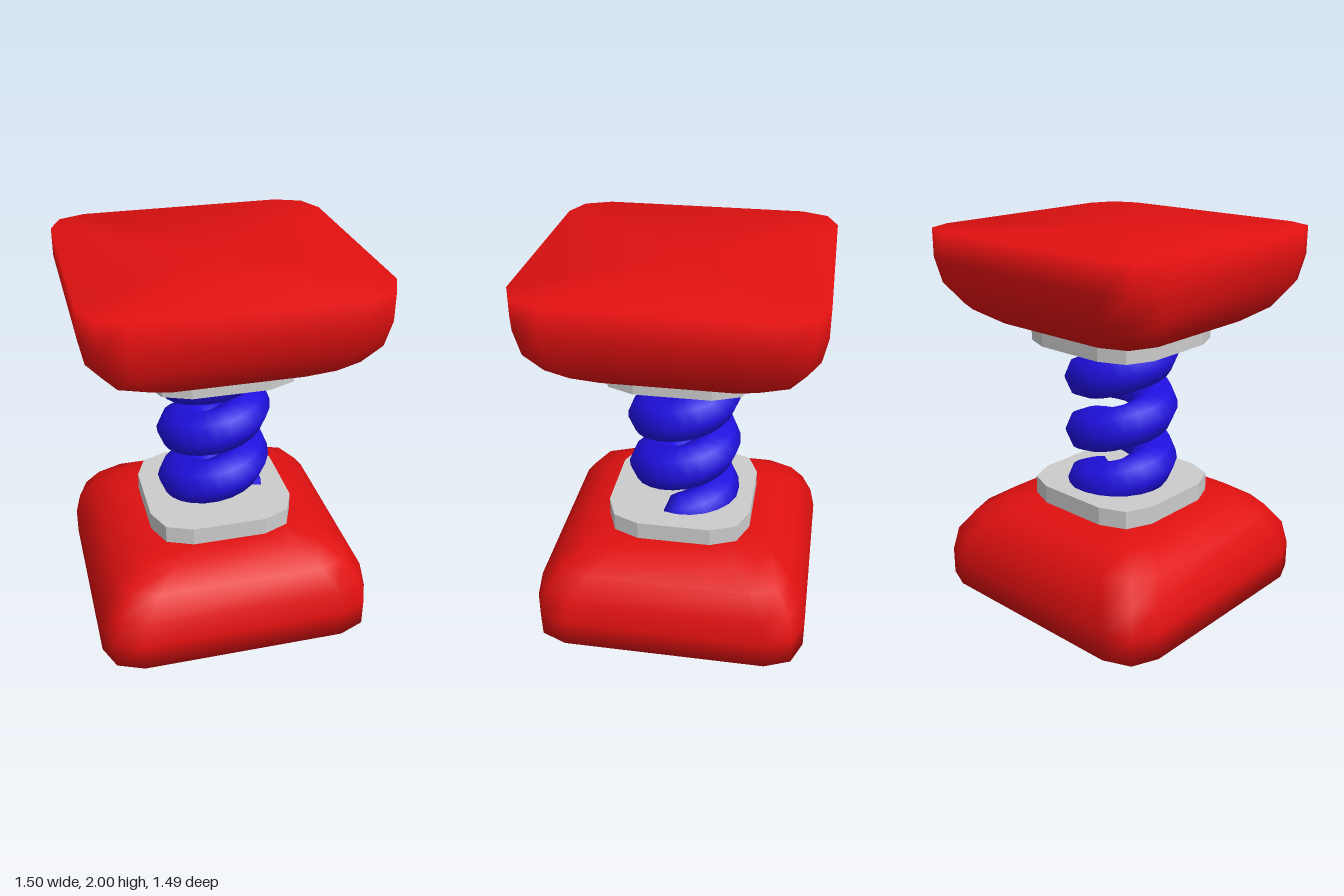
import * as THREE from 'three';

const CORNER = 0.2;      // corner radius of every rounded square
const DEPTH = 0.99;      // slight squeeze in z

// Skin over a row of closed rings, capped at both ends
function loft(rings) {
  const n = rings[0].length, last = rings.length - 1;
  const pts = rings.flat();
  const centre = ring => ring.reduce((s, p) => s.add(p), new THREE.Vector3()).divideScalar(n);
  const start = pts.length, end = start + 1;
  pts.push(centre(rings[0]), centre(rings[last]));
  const index = [];
  for (let j = 0; j < n; j++) {
    const k = (j + 1) % n;
    for (let i = 0; i < last; i++) {
      const a = i * n + j, b = i * n + k;
      index.push(a, a + n, b, b, a + n, b + n);
    }
    index.push(start, j, k, end, last * n + k, last * n + j);
  }
  const geometry = new THREE.BufferGeometry().setFromPoints(pts);
  geometry.setIndex(index);
  geometry.computeVertexNormals();
  return geometry;
}

// Rounded square of the given half width, each corner cut in two segments
function roundedSquare(half, y) {
  const ring = [];
  for (let q = 0; q < 4; q++) {
    const mid = (q + 0.5) * Math.PI / 2;
    const cx = Math.sign(Math.cos(mid)) * (half - CORNER);
    const cz = Math.sign(Math.sin(mid)) * (half - CORNER);
    for (let s = 0; s <= 2; s++) {
      const a = (q + s / 2) * Math.PI / 2;
      ring.push(new THREE.Vector3(
        cx + CORNER * Math.cos(a), y, (cz + CORNER * Math.sin(a)) * DEPTH));
    }
  }
  return ring;
}

// Pad: short upright wall, then a quarter-round shoulder
function padGeometry() {
  const rings = [roundedSquare(0.75, 0)];
  for (let i = 0; i <= 4; i++) {
    const a = i / 4 * Math.PI / 2;
    rings.push(roundedSquare(0.4 + 0.35 * Math.cos(a), 0.15 + 0.35 * Math.sin(a)));
  }
  return loft(rings);
}

// Coil: eight-sided section swept up a helix, ends buried in the plates
function springGeometry() {
  const R = 0.185, r = 0.127, pitch = 0.31, steps = 72, rings = [];
  for (let i = 0; i <= steps; i++) {
    const y = 0.52 + 0.96 * i / steps;
    const t = (y - 1.076) / pitch * Math.PI * 2;
    const ring = [];
    for (let s = 0; s < 8; s++) {
      const a = s / 8 * Math.PI * 2;
      const d = R + r * Math.cos(a);
      ring.push(new THREE.Vector3(d * Math.sin(t), y + r * Math.sin(a), d * Math.cos(t)));
    }
    rings.push(ring);
  }
  return loft(rings);
}

export function createModel() {
  const red = new THREE.MeshStandardMaterial({ color: 0xe01010 });
  const blue = new THREE.MeshStandardMaterial({ color: 0x2010e0 });
  const grey = new THREE.MeshStandardMaterial({ color: 0xcccccc, flatShading: true });
  const model = new THREE.Group();
  model.name = 'springBumper';

  const add = (parent, name, geometry, material) => {
    const mesh = new THREE.Mesh(geometry, material);
    mesh.name = name;
    parent.add(mesh);
  };

  // Identical ends, the upper one turned over
  const pad = padGeometry();
  const plate = loft([roundedSquare(0.4, 0.5), roundedSquare(0.4, 0.6)]);
  for (const side of ['lower', 'upper']) {
    const end = new THREE.Group();
    end.name = side + 'End';
    add(end, side + 'Pad', pad, red);
    add(end, side + 'Plate', plate, grey);
    if (side === 'upper') {
      end.rotation.x = Math.PI;
      end.position.y = 2;
    }
    model.add(end);
  }

  add(model, 'spring', springGeometry(), blue);
  return model;
}
